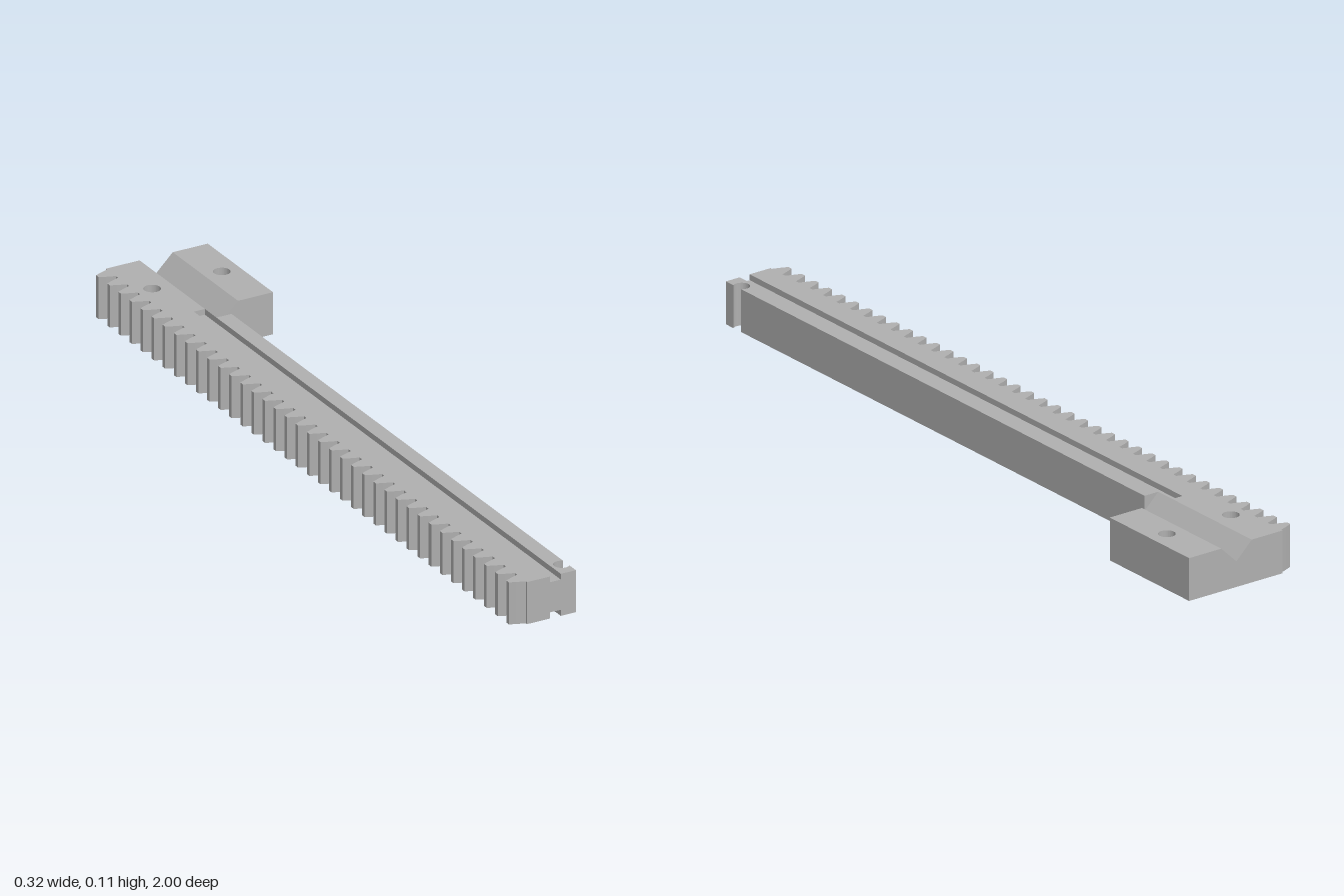
import * as THREE from 'three';

const H = 0.11;          // overall height
const BACK = -1, FRONT = 1;
const BLOCK_FRONT = -0.69, RUNOUT = -0.635;
const GROOVE_L = -0.058, GROOVE_R = -0.028, BAR_R = 0.013;
const V_X = 0.0175, V_Y = 0.066, V_R = 0.0625;

const shapeFrom = (pts) => new THREE.Shape(pts.map(([x, y]) => new THREE.Vector2(x, y)));

// Plan outline given in x, z and raised from y0 to y1
function plan(pts, y0, y1, holes = []) {
  const shape = shapeFrom(pts.map(([x, z]) => [x, -z]));
  for (const { x, z, r, sides } of holes) {
    const hole = [];
    for (let i = 0; i < sides; i++) {
      const a = (i / sides) * Math.PI * 2;
      hole.push(new THREE.Vector2(x + r * Math.cos(a), -z + r * Math.sin(a)));
    }
    shape.holes.push(new THREE.Path(hole));
  }
  return new THREE.ExtrudeGeometry(shape, { depth: y1 - y0, bevelEnabled: false })
    .rotateX(-Math.PI / 2).translate(0, y0, 0);
}

// Profile given in x, y and run from z0 to z1
const profile = (pts, z0, z1) =>
  new THREE.ExtrudeGeometry(shapeFrom(pts), { depth: z1 - z0, bevelEnabled: false }).translate(0, 0, z0);

export function createModel() {
  const model = new THREE.Group();
  model.name = 'gearRack';
  const grey = new THREE.MeshStandardMaterial({ color: 0xb0b0b0 });
  grey.name = 'plain grey';

  const add = (name, geometry, parent = model) => {
    const mesh = new THREE.Mesh(geometry, grey);
    mesh.name = name;
    parent.add(mesh);
  };

  // A part with a screw hole that opens into a hexagonal nut pocket underneath
  const addBolted = (name, outline, x) => {
    const group = new THREE.Group();
    group.name = name;
    const z = -0.85, pocket = 0.04;
    add(name + 'Lower', plan(outline, 0, pocket, [{ x, z, r: 0.035, sides: 6 }]), group);
    add(name + 'Upper', plan(outline, pocket, H, [{ x, z, r: 0.021, sides: 32 }]), group);
    model.add(group);
  };

  // Toothed side: 38 rack teeth, slightly convex flanks
  const TEETH = 38, pitch = (FRONT - BACK) / TEETH;
  const flank = [[-0.12, 0.0208], [-0.141, 0.0134], [-0.152, 0.0088], [-0.158, 0.006]];
  const rack = [[-0.12, BACK]];
  for (let i = 0; i < TEETH; i++) {
    const c = BACK + (i + 0.5) * pitch;
    for (const [x, w] of flank) rack.push([x, c - w]);
    for (const [x, w] of [...flank].reverse()) rack.push([x, c + w]);
  }
  rack.push([-0.12, FRONT], [GROOVE_L, FRONT], [GROOVE_L, BLOCK_FRONT],
    [GROOVE_R, BLOCK_FRONT], [GROOVE_R, BACK]);
  addBolted('toothedSide', rack, -0.08);

  // Web between the upper and lower grooves
  add('grooveWeb', profile([[GROOVE_L, 0.016], [GROOVE_R, 0.016], [GROOVE_R, 0.095], [GROOVE_L, 0.095]],
    BLOCK_FRONT, FRONT));

  // Plain rail with a round notch near the front end
  const rail = [[GROOVE_R, RUNOUT], [BAR_R, RUNOUT]];
  const r = 0.02, a0 = Math.acos(BAR_R / r), steps = 24;
  for (let i = 0; i <= steps; i++) {
    const a = -a0 - (i / steps) * (Math.PI * 2 - 2 * a0);
    rail.push([r * Math.cos(a), 0.955 + r * Math.sin(a)]);
  }
  rail.push([BAR_R, FRONT], [GROOVE_R, FRONT]);
  add('plainRail', plan(rail, 0, H));

  // V channel through the end block, and its run-out into the rail
  add('vChannel', profile([[GROOVE_R, 0], [V_R, 0], [V_R, H], [V_X, V_Y], [GROOVE_R, H]], BACK, BLOCK_FRONT));
  const cutY = H + (V_Y - H) * (BAR_R - GROOVE_R) / (V_X - GROOVE_R);
  add('channelRunout', profile([[GROOVE_R, 0], [BAR_R, 0], [BAR_R, cutY], [GROOVE_R, H]], BLOCK_FRONT, RUNOUT));

  // End block beside the channel
  addBolted('endBlock', [[V_R, BACK], [0.158, BACK], [0.158, BLOCK_FRONT], [V_R, BLOCK_FRONT]], 0.11);

  return model;
}
